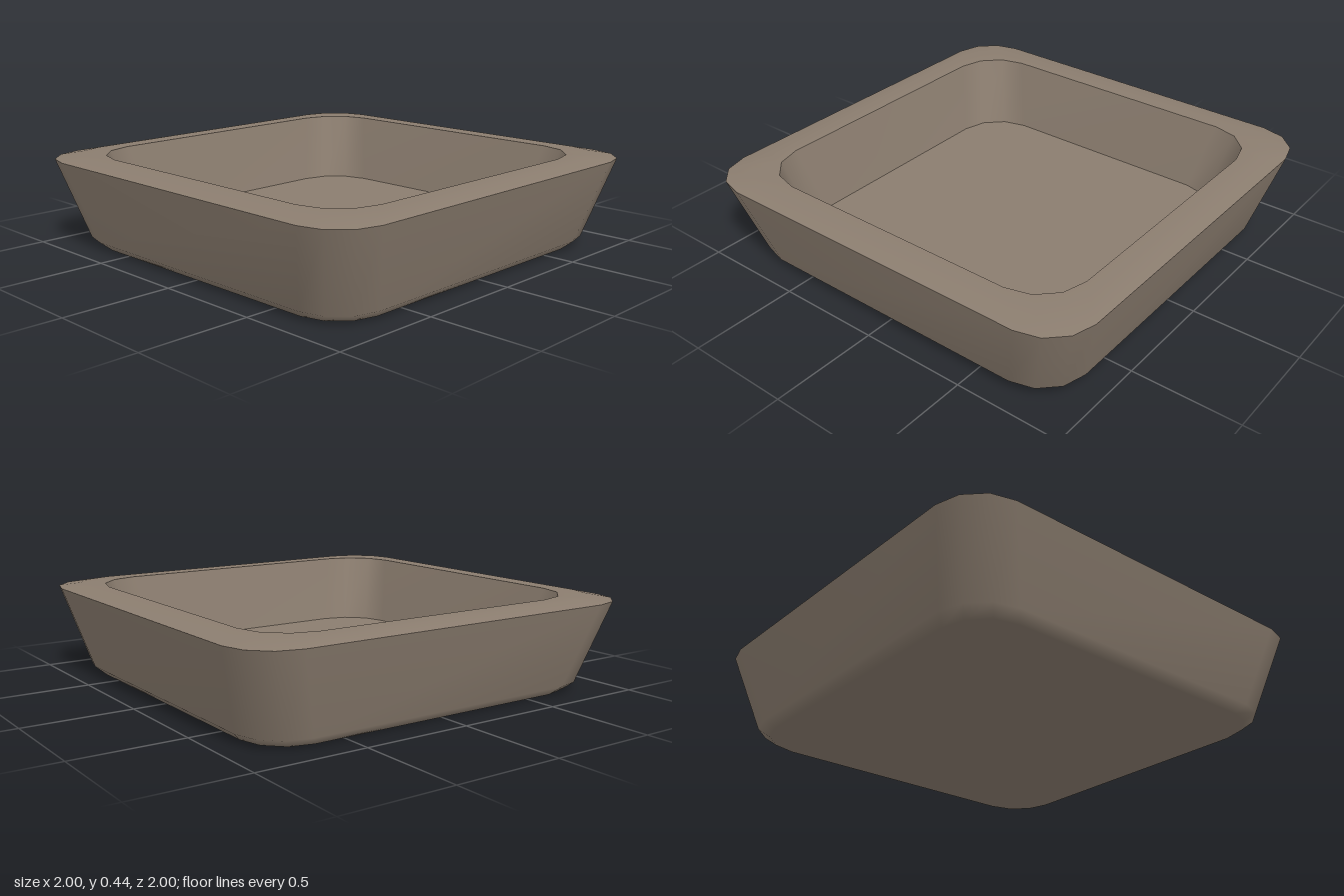
import * as THREE from 'three';

// One horizontal rounded-square ring, counter-clockwise seen from above
function ring({ half, r, y }) {
  const points = [];
  for (let corner = 0; corner < 4; corner++) {
    const mid = (corner + 0.5) * Math.PI / 2;
    const cx = Math.sign(Math.cos(mid)) * (half - r);
    const cz = -Math.sign(Math.sin(mid)) * (half - r);
    for (let k = 0; k <= 3; k++) {
      const a = (corner + k / 3) * Math.PI / 2;
      points.push(cx + r * Math.cos(a), y, cz - r * Math.sin(a));
    }
  }
  return points;
}

// Smooth skin through a list of rings
function loft(rings) {
  const n = 16, index = [];
  for (let i = 0; i < rings.length - 1; i++) {
    for (let j = 0; j < n; j++) {
      const a = i * n + j, b = i * n + (j + 1) % n;
      if (rings[i].half > 0) index.push(a, b, b + n);
      if (rings[i + 1].half > 0) index.push(a, b + n, a + n);
    }
  }
  const geometry = new THREE.BufferGeometry();
  geometry.setAttribute('position', new THREE.Float32BufferAttribute(rings.flatMap(ring), 3));
  geometry.setIndex(index);
  geometry.computeVertexNormals();
  return geometry;
}

export function createModel() {
  const group = new THREE.Group();
  group.name = 'squareTray';
  const clay = new THREE.MeshStandardMaterial({ color: 0x8b7d6f });
  clay.name = 'brown clay';

  const outerEdge = { half: 1, r: 0.22, y: 0.418 };
  const innerEdge = { half: 0.833, r: 0.23, y: 0.435 };
  const floorEdge = { half: 0.75, r: 0.23, y: 0.11 };

  // Creases fall between the parts; each part is smooth inside
  const parts = {
    outerShell: [
      { half: 0, r: 0, y: 0 },
      { half: 0.848, r: 0.21, y: 0 },
      { half: 0.892, r: 0.22, y: 0.04 },
      outerEdge,
    ],
    rim: [outerEdge, { half: 0.92, r: 0.22, y: 0.435 }, innerEdge],
    innerWall: [innerEdge, floorEdge],
    floor: [floorEdge, { half: 0, r: 0, y: 0.11 }],
  };
  for (const [name, rings] of Object.entries(parts)) {
    const mesh = new THREE.Mesh(loft(rings), clay);
    mesh.name = name;
    group.add(mesh);
  }
  return group;
}
